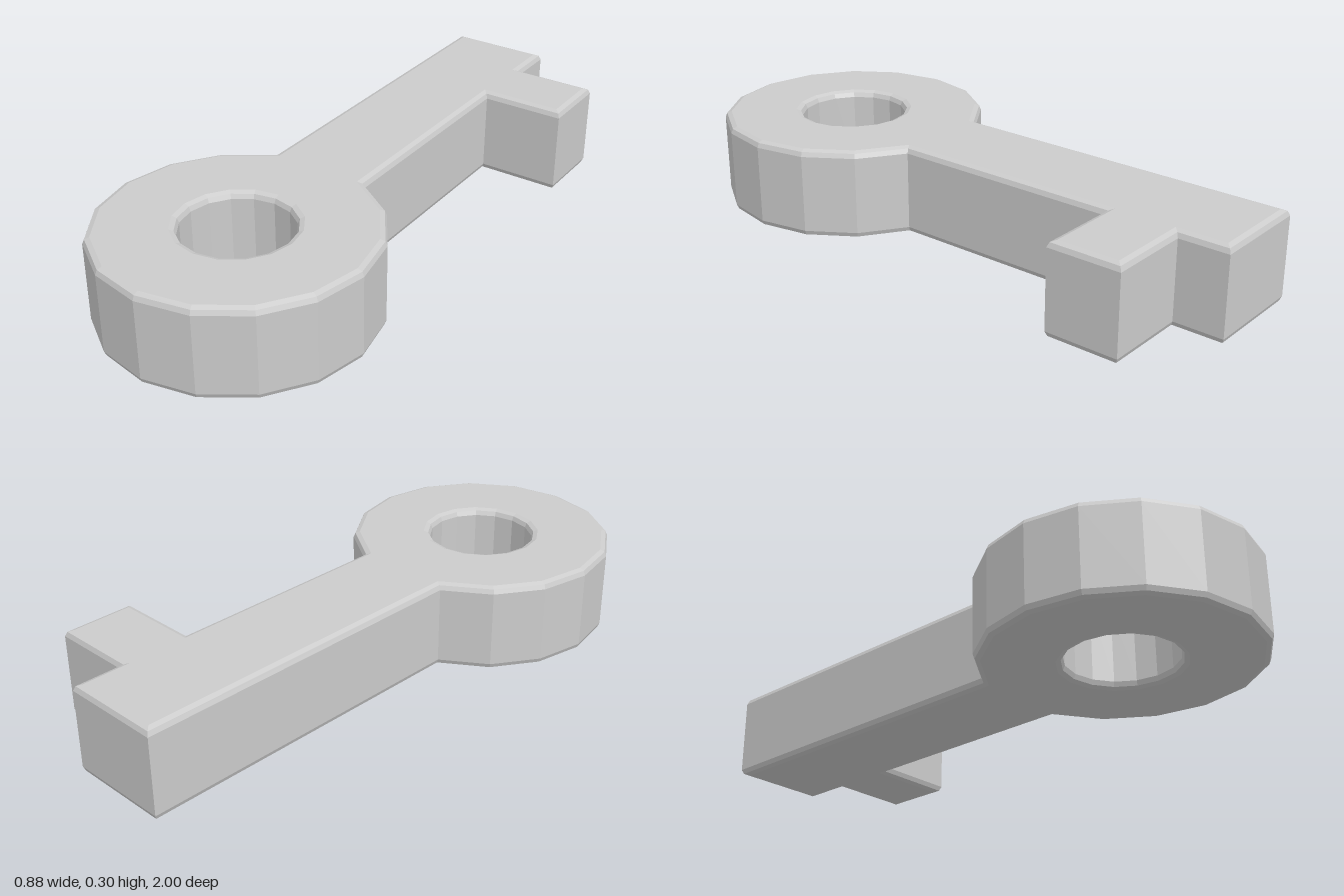
import * as THREE from 'three';

const SIDES = 16;
const HEIGHT = 0.297;
const BEVEL = 0.021;
const BOW_Z = 0.5625;      // centre of the ring-shaped bow
const BOW_RADIUS = 0.4375;
const HOLE_RADIUS = 0.175;

// Point on the 16-sided bow, in plan (plan y = -z)
function ringPoint(radius, i) {
  const a = (i / SIDES) * Math.PI * 2;
  return new THREE.Vector2(radius * Math.cos(a), -BOW_Z + radius * Math.sin(a));
}

export function createModel() {
  const group = new THREE.Group();
  group.name = 'key';

  // Outline: around the bow, leaving open the two sides where the shank joins
  const points = [];
  for (let i = 5; i <= SIDES + 3; i++) points.push(ringPoint(BOW_RADIUS, i));

  // Shank with a single square tooth on the left side
  const half = ringPoint(BOW_RADIUS, 3).x;
  for (const [x, y] of [
    [half, 0.598], [0.441, 0.598], [0.441, 0.838], [half, 0.838],
    [half, 1], [-half, 1],
  ]) points.push(new THREE.Vector2(x, y));
  const outline = new THREE.Shape(points);

  // Hole through the bow
  const hole = [];
  for (let i = 0; i < SIDES; i++) hole.push(ringPoint(HOLE_RADIUS, -i));
  outline.holes.push(new THREE.Path(hole));

  // One solid with small rounded edges top and bottom, laid flat
  const geometry = new THREE.ExtrudeGeometry(outline, {
    depth: HEIGHT - 2 * BEVEL,
    bevelEnabled: true,
    bevelThickness: BEVEL,
    bevelSize: BEVEL,
    bevelOffset: -BEVEL,
    bevelSegments: 2,
  });
  geometry.rotateX(-Math.PI / 2);
  geometry.translate(0, BEVEL, 0);

  const body = new THREE.Mesh(
    geometry,
    new THREE.MeshStandardMaterial({ color: 0xcccccc, flatShading: true })
  );
  body.name = 'keyBody';
  group.add(body);
  return group;
}
